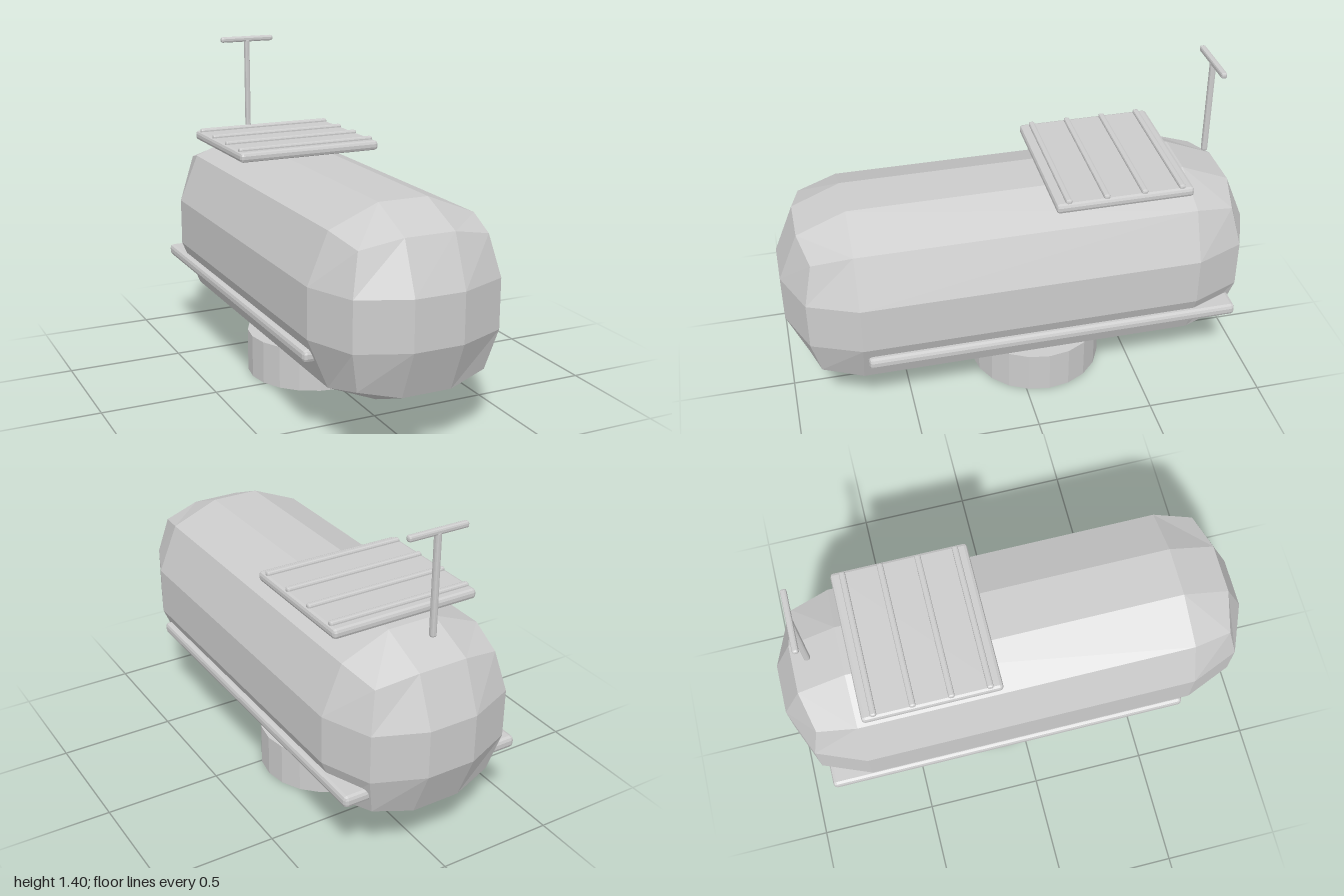
import * as THREE from 'three';
import { RoundedBoxGeometry } from 'three/addons/geometries/RoundedBoxGeometry.js';

export function createModel() {
  const model = new THREE.Group();
  model.name = 'capsuleVehicle';
  const grey = new THREE.MeshStandardMaterial({ color: 0xcccccc, flatShading: true });
  grey.name = 'plain grey';

  const add = (name, geometry, x, y, z) => {
    const mesh = new THREE.Mesh(geometry, grey);
    mesh.name = name;
    mesh.position.set(x, y, z);
    model.add(mesh);
    return mesh;
  };
  // Box with one 45 degree step at each rounded edge
  const softBox = (w, h, d, r) => new RoundedBoxGeometry(w, h, d, 1, r);

  // Main body and the round base below it
  add('body', softBox(0.79, 0.785, 2, 0.29), 0, 0.5675, 0);
  add('base', new THREE.CylinderGeometry(0.29, 0.29, 0.187, 20), 0, 0.0935, -0.1);

  // Side rails
  for (const side of [1, -1]) {
    add(side > 0 ? 'leftRail' : 'rightRail', softBox(0.12, 0.05, 1.58, 0.016), side * 0.34, 0.387, -0.1);
  }

  // Roof rack with cross slats
  add('roofRack', softBox(0.65, 0.042, 0.576, 0.014), 0, 0.981, -0.394);
  for (const z of [-0.158, -0.316, -0.474, -0.632]) {
    add('rackSlat', softBox(0.632, 0.026, 0.026, 0.008), 0, 1.003, z);
  }

  // Rear mast with its crossbar
  add('mast', softBox(0.024, 0.425, 0.026, 0.008), 0, 1.176, -0.842);
  add('mastCrossbar', softBox(0.26, 0.025, 0.025, 0.008), 0, 1.387, -0.842);

  return model;
}
